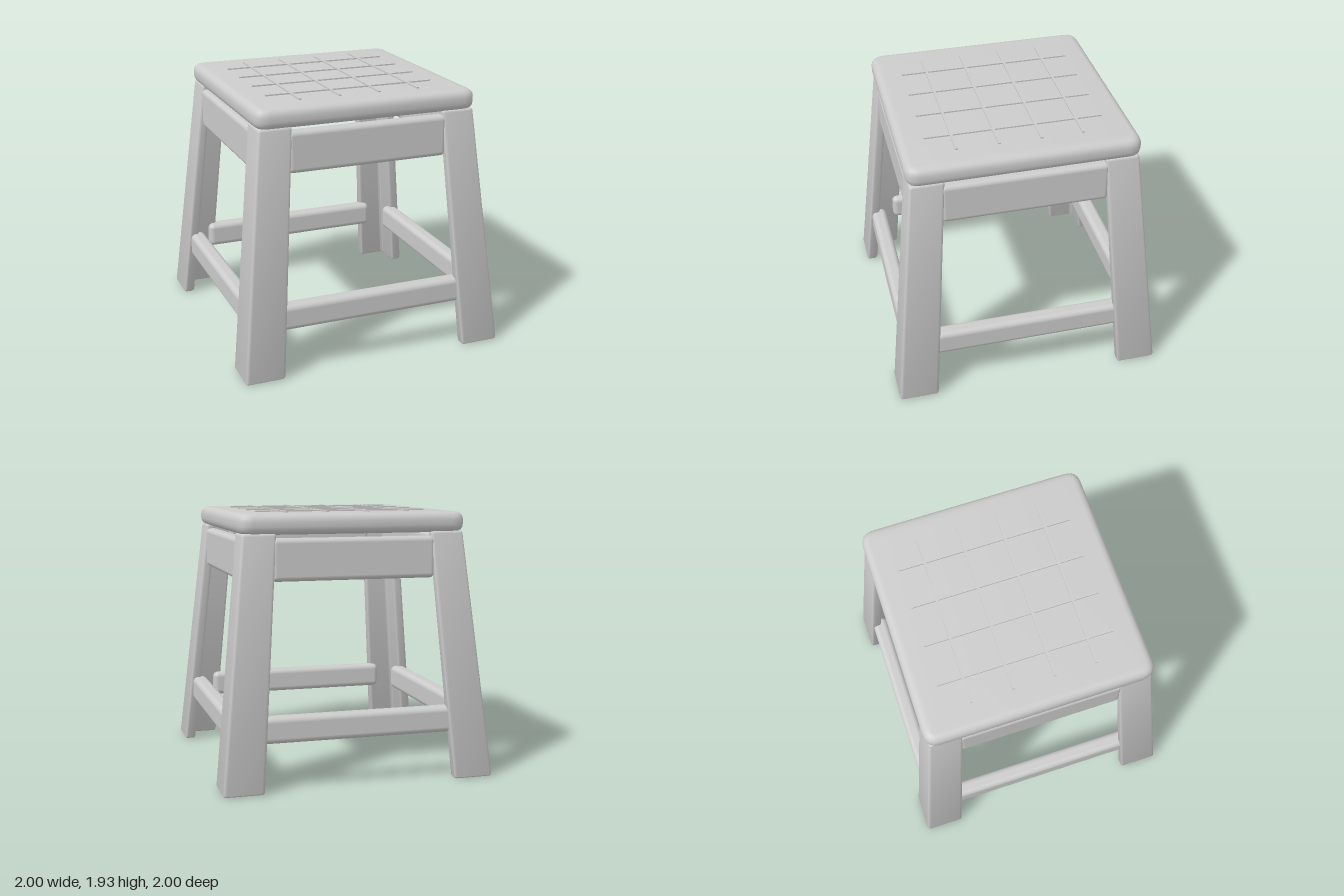
import * as THREE from 'three';
import { toCreasedNormals } from 'three/addons/utils/BufferGeometryUtils.js';
import { RoundedBoxGeometry } from 'three/addons/geometries/RoundedBoxGeometry.js';

const material = new THREE.MeshStandardMaterial({ color: 0xcccccc });

function addMesh(parent, geometry, name, x = 0, y = 0, z = 0) {
  const mesh = new THREE.Mesh(geometry, material);
  mesh.name = name;
  mesh.position.set(x, y, z);
  parent.add(mesh);
  return mesh;
}

// Closed outline with every corner rounded by r
function roundedShape(corners, r) {
  const pts = corners.map(([x, y]) => new THREE.Vector2(x, y));
  const n = pts.length;
  const shape = new THREE.Shape();
  pts.forEach((p, i) => {
    const toward = (q) => p.clone().add(q.clone().sub(p).setLength(r));
    const a = toward(pts[(i + n - 1) % n]);
    const b = toward(pts[(i + 1) % n]);
    if (i === 0) shape.moveTo(a.x, a.y);
    else shape.lineTo(a.x, a.y);
    shape.quadraticCurveTo(p.x, p.y, b.x, b.y);
  });
  shape.closePath();
  return shape;
}

// Upright extrusion from y = 0 to y = height with softened ends
function extrudeUp(shape, height, bevel, steps = 1, rule = null) {
  const geometry = new THREE.ExtrudeGeometry(shape, {
    depth: height - 2 * bevel, steps, curveSegments: 4,
    bevelEnabled: true, bevelThickness: bevel, bevelSize: bevel,
    bevelOffset: -bevel, bevelSegments: 4,
  });
  geometry.translate(0, 0, bevel);
  if (rule) rule(geometry.attributes.position);
  geometry.rotateX(-Math.PI / 2);
  return toCreasedNormals(geometry, 0.7);
}

// L-section leg that leans inward and narrows toward the top
function legGeometry() {
  const w = 0.295, t = 0.085, height = 1.79;
  const section = roundedShape(
    [[0, 0], [-w, 0], [-w, -t], [-t, -t], [-t, -w], [0, -w]], 0.025);
  return extrudeUp(section, height, 0.02, 1, (pos) => {
    for (let i = 0; i < pos.count; i++) {
      const k = pos.getZ(i) / height;
      const outer = 1 - 0.19 * k;
      const scale = 1 - 0.18 * k;
      pos.setX(i, outer + pos.getX(i) * scale);
      pos.setY(i, outer + pos.getY(i) * scale);
    }
  });
}

export function createModel() {
  const stool = new THREE.Group();
  stool.name = 'stool';

  // Seat slab
  const h = 0.83;
  const outline = roundedShape([[-h, -h], [h, -h], [h, h], [-h, h]], 0.1);
  addMesh(stool, extrudeUp(outline, 0.145, 0.055), 'seat', 0, 1.78, 0);

  // Raised grip grid on the seat
  const grid = new THREE.Group();
  grid.name = 'gripGrid';
  stool.add(grid);
  for (const d of [-0.45, -0.15, 0.15, 0.45]) {
    addMesh(grid, new THREE.BoxGeometry(1.28, 0.02, 0.018), 'crossRib', 0, 1.925, d);
    addMesh(grid, new THREE.BoxGeometry(0.018, 0.02, 1.28), 'lengthRib', d, 1.925, 0);
  }

  // Four identical sides: leg, apron and lower rail
  const leg = legGeometry();
  const apron = new RoundedBoxGeometry(1.2, 0.3, 0.1, 4, 0.035);
  const rail = new RoundedBoxGeometry(1.46, 0.19, 0.12, 4, 0.04);
  for (let i = 0; i < 4; i++) {
    const side = new THREE.Group();
    side.name = 'side' + (i + 1);
    side.rotation.y = i * Math.PI / 2;
    addMesh(side, leg, 'leg');
    addMesh(side, apron, 'apron', 0, 1.605, 0.768);
    addMesh(side, rail, 'lowerRail', 0, 0.43, 0.87);
    stool.add(side);
  }
  return stool;
}
